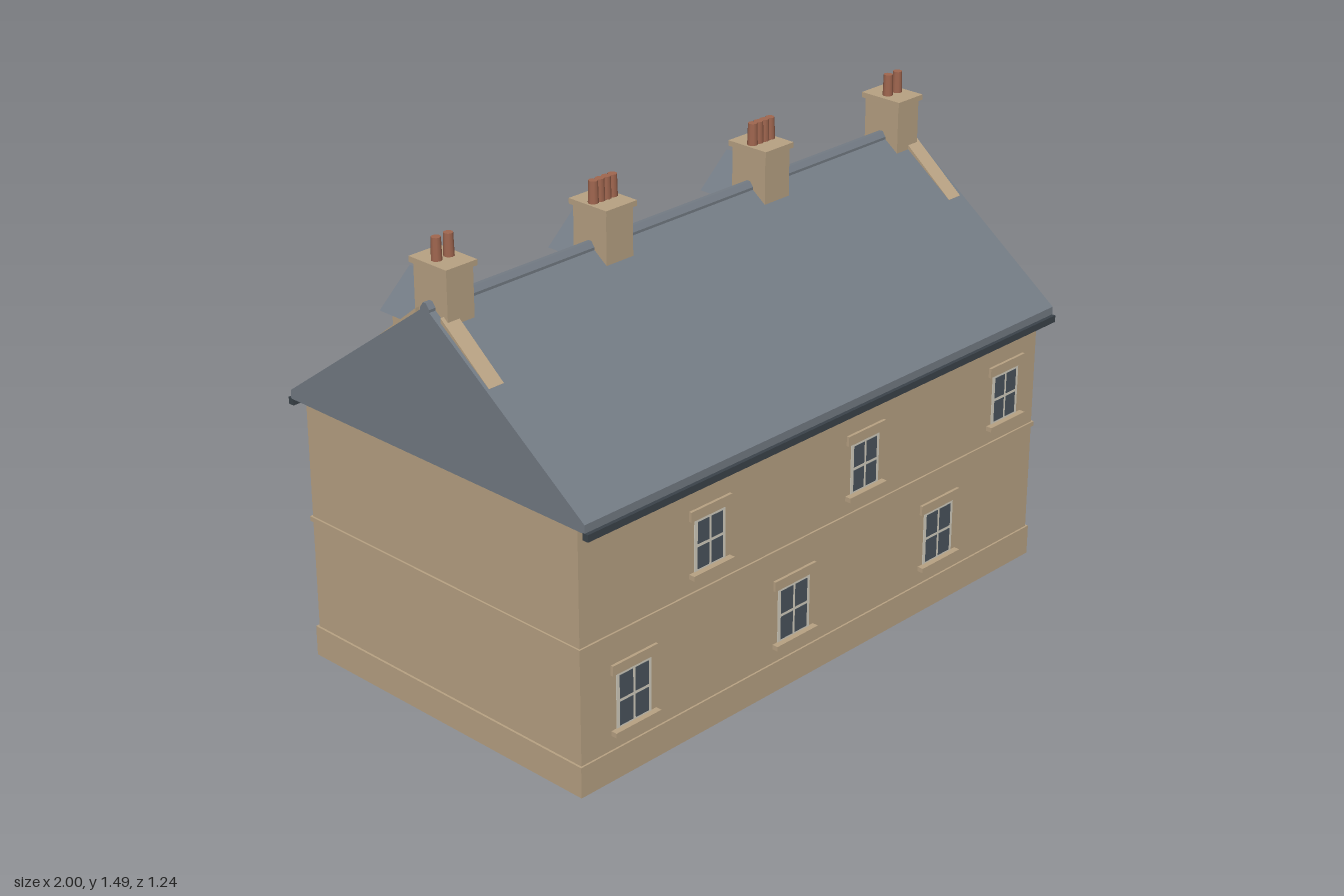
import * as THREE from 'three';

const mat = (name, color) => {
  const m = new THREE.MeshStandardMaterial({ color });
  m.name = name;
  return m;
};

export function createModel() {
  const root = new THREE.Group();
  root.name = 'terraceHouse';
  const M = {
    stone: mat('sandstone', 0xb8a283),
    slate: mat('roofSlate', 0x737b84),
    gutter: mat('gutterDark', 0x3b434a),
    frame: mat('windowFrame', 0xd4cfc0),
    glass: mat('windowGlass', 0x4a545d),
    door: mat('doorBlue', 0x45648a),
    pot: mat('terracotta', 0xa0664f),
  };
  const UNIT = 0.657, ZC = 0.007, FRONT = 0.565, BACK = -0.55;
  const units = [-UNIT, 0, UNIT];

  const add = (parent, name, geo, material) => {
    const mesh = new THREE.Mesh(geo, material);
    mesh.name = name;
    parent.add(mesh);
    return mesh;
  };
  // box given by its limits on each axis
  const box = (parent, name, material, x0, x1, y0, y1, z0, z1) => {
    const g = new THREE.BoxGeometry(x1 - x0, y1 - y0, z1 - z0);
    g.translate((x0 + x1) / 2, (y0 + y1) / 2, (z0 + z1) / 2);
    return add(parent, name, g, material);
  };
  // prism along x from a (z, y) outline
  const prismX = (parent, name, material, pts, x0, x1) => {
    const s = new THREE.Shape(pts.map(([a, b]) => new THREE.Vector2(a, b)));
    const g = new THREE.ExtrudeGeometry(s, { depth: x1 - x0, bevelEnabled: false });
    g.rotateY(-Math.PI / 2).translate(x1, 0, 0);
    return add(parent, name, g, material);
  };
  const group = (name, x, z, back) => {
    const g = new THREE.Group();
    g.name = name;
    g.position.set(x, 0, z);
    if (back) g.rotation.y = Math.PI;
    root.add(g);
    return g;
  };
  // thin framed window with a grid of panes, facing local +z
  const panes = (g, w, y0, y1, cols, rows, z, edge = 0.01) => {
    box(g, 'windowFrame', M.frame, -w / 2, w / 2, y0, y1, z - 0.006, z);
    const bar = 0.01;
    const pw = (w - 2 * edge - (cols - 1) * bar) / cols;
    const ph = (y1 - y0 - 2 * edge - (rows - 1) * bar) / rows;
    for (let i = 0; i < cols; i++) for (let j = 0; j < rows; j++) {
      const x = -w / 2 + edge + i * (pw + bar), y = y0 + edge + j * (ph + bar);
      box(g, 'windowPane', M.glass, x, x + pw, y, y + ph, z - 0.004, z + 0.0015);
    }
  };
  // stone surround: two jambs and a lintel
  const surround = (g, half, inner, y0, yLintel, y1) => {
    for (const s of [-1, 1]) {
      const a = s * inner, b = s * half;
      box(g, 'jamb', M.stone, Math.min(a, b), Math.max(a, b), y0, yLintel, -0.01, 0.009);
    }
    box(g, 'lintel', M.stone, -half, half, yLintel, y1, -0.01, 0.01);
  };

  // walls
  box(root, 'walls', M.stone, -0.983, 0.983, 0, 0.84, BACK, FRONT);
  box(root, 'plinth', M.stone, -0.99, 0.99, 0, 0.097, BACK - 0.008, FRONT + 0.006);
  box(root, 'stringCourse', M.stone, -0.989, 0.989, 0.45, 0.465, BACK - 0.006, FRONT + 0.006);

  // roof, ridge and gutters
  prismX(root, 'roof', M.slate, [[ZC - 0.603, 0.835], [ZC + 0.603, 0.835], [ZC + 0.603, 0.862],
    [ZC, 1.302], [ZC - 0.603, 0.862]], -1, 1);
  prismX(root, 'ridgeCap', M.slate, [[ZC - 0.018, 1.284], [ZC + 0.018, 1.284], [ZC + 0.018, 1.297],
    [ZC + 0.006, 1.313], [ZC - 0.006, 1.313], [ZC - 0.018, 1.297]], -1, 1);
  for (const s of [-1, 1]) {
    const c = ZC + s * 0.605;
    box(root, 'gutter', M.gutter, -1, 1, 0.815, 0.837, c - 0.01, c + 0.01);
  }

  // gable copings beside the end chimneys
  for (const sx of [-1, 1]) for (const sz of [-1, 1]) {
    const pts = [[0.05, 1.22], [0.235, 1.1], [0.235, 1.131], [0.05, 1.28]].map(([z, y]) => [ZC + sz * z, y]);
    prismX(root, 'gableCoping', M.stone, pts, sx * 0.962 - 0.027, sx * 0.962 + 0.027);
  }

  // chimneys with clay pots
  const chimney = (x, half, pots) => {
    const g = group('chimney', x, ZC);
    box(g, 'chimneyStack', M.stone, -half, half, 1.2, 1.408, -0.066, 0.066);
    box(g, 'chimneyCap', M.stone, -half - 0.008, half + 0.008, 1.406, 1.423, -0.075, 0.075);
    for (const px of pots) {
      const geo = new THREE.CylinderGeometry(0.014, 0.016, 0.07, 10);
      geo.translate(px, 1.455, 0);
      add(g, 'chimneyPot', geo, M.pot);
    }
  };
  for (const s of [-1, 1]) {
    chimney(s * 0.929, 0.048, [-0.022, 0.022]);
    chimney(s * UNIT / 2, 0.053, [-0.0375, -0.0125, 0.0125, 0.0375]);
  }

  for (const u of units) {
    // front windows with lintel and sill
    for (const [dx, half, y0, y1] of [[-0.122, 0.068, 0.152, 0.335], [0.18, 0.062, 0.52, 0.69]]) {
      const g = group('frontWindow', u + dx, FRONT);
      panes(g, half * 2, y0, y1, 2, 2, 0.002, 0.012);
      box(g, 'lintel', M.stone, -half - 0.02, half + 0.02, y1, y1 + 0.031, -0.01, 0.009);
      box(g, 'sill', M.stone, -half - 0.02, half + 0.02, y0 - 0.009, y0 + 0.006, -0.01, 0.02);
    }

    // back windows with full surrounds
    for (const [dx, half, y0, y1, cols] of [[-0.12, 0.095, 0.16, 0.445, 3], [-0.12, 0.077, 0.53, 0.76, 2],
      [0.208, 0.064, 0.53, 0.76, 2]]) {
      const g = group('backWindow', u + dx, BACK, true);
      const inner = half - 0.02;
      surround(g, half, inner, y0, y1 - 0.034, y1);
      panes(g, inner * 2, y0, y1 - 0.034, cols, 2, 0.003);
      box(g, 'sill', M.stone, -half - 0.008, half + 0.008, y0 - 0.012, y0 + 0.004, -0.01, 0.02);
    }

    // back door with step, fanlight and hood
    const d = group('door', u + 0.208, BACK, true);
    surround(d, 0.078, 0.06, 0.06, 0.395, 0.41);
    box(d, 'doorLeaf', M.door, -0.06, 0.06, 0.06, 0.36, -0.004, 0.004);
    box(d, 'fanlight', M.glass, -0.06, 0.06, 0.36, 0.395, -0.004, 0.003);
    box(d, 'doorStep', M.stone, -0.088, 0.088, 0.043, 0.063, -0.01, 0.04);
    box(d, 'doorHood', M.slate, -0.086, 0.086, 0.407, 0.422, -0.01, 0.071);

    // dormer: cheeks, gabled roof and window
    const m = group('dormer', u - 0.055, -0.365, true);
    box(m, 'dormerBody', M.stone, -0.09, 0.09, 0.98, 1.122, -0.16, 0);
    const tri = new THREE.Shape([[-0.118, 1.12], [0.118, 1.12], [0, 1.225]].map(([x, y]) => new THREE.Vector2(x, y)));
    const tg = new THREE.ExtrudeGeometry(tri, { depth: 0.203, bevelEnabled: false });
    tg.translate(0, 0, -0.181);
    add(m, 'dormerRoof', tg, M.slate);
    box(m, 'dormerSurround', M.stone, -0.078, 0.078, 1.03, 1.095, -0.01, 0.005);
    panes(m, 0.12, 1.04, 1.088, 2, 1, 0.007, 0.008);
  }
  return root;
}
